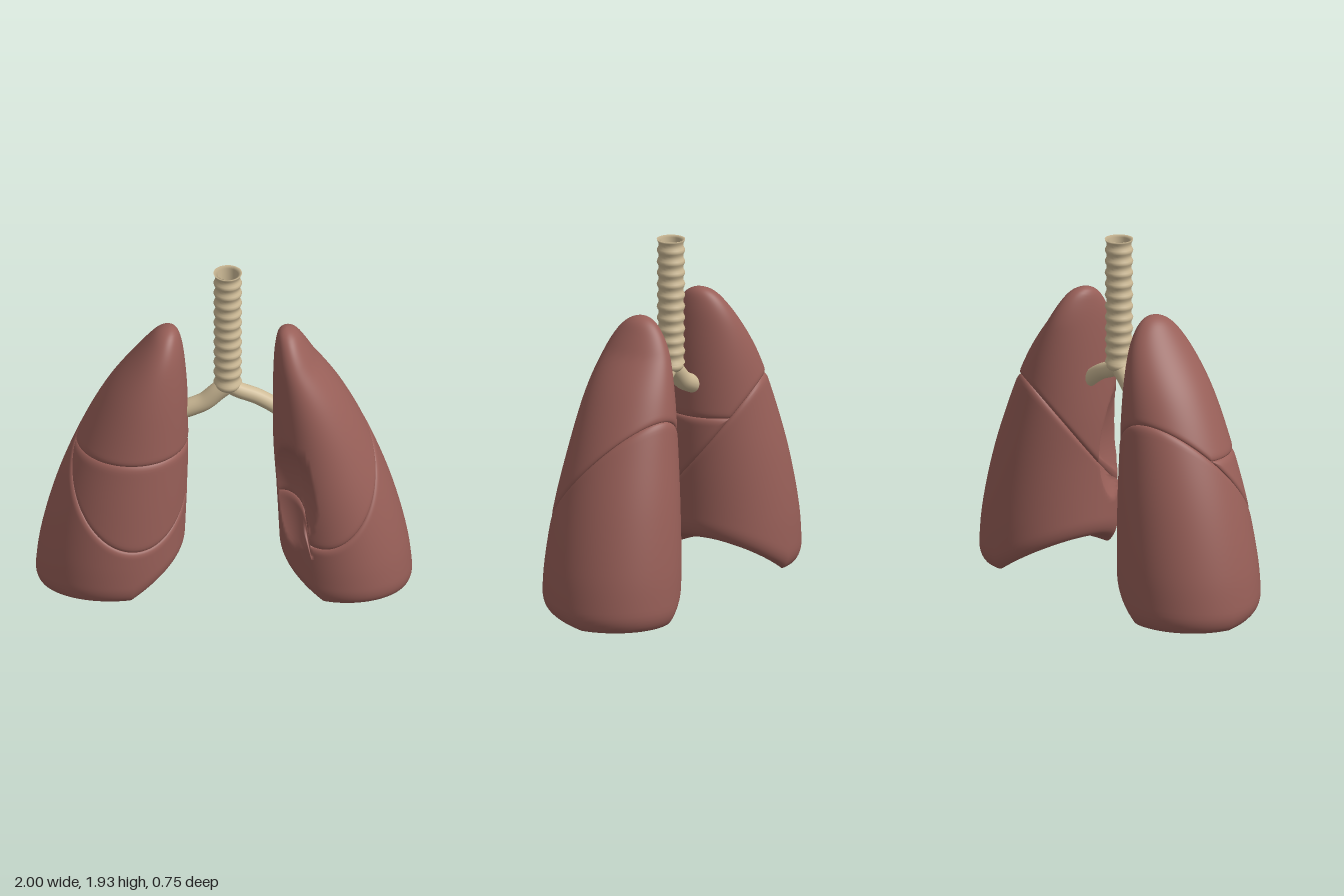
import * as THREE from 'three';

const TOP = 1.59, SEG = 112;

// Lung profile by height: [y, inner x (right lung), inner x (left lung), outer x, half depth]
const PROFILE = [
  [1.59, 0.29, 0.33, 0.31, 0], [1.57, 0.25, 0.292, 0.35, 0.07], [1.5, 0.225, 0.274, 0.415, 0.138],
  [1.4, 0.21, 0.265, 0.495, 0.19], [1.2, 0.195, 0.26, 0.64, 0.25], [0.9, 0.19, 0.262, 0.79, 0.302],
  [0.6, 0.196, 0.28, 0.9, 0.345], [0.3, 0.208, 0.295, 0.975, 0.372], [0.1, 0.215, 0.305, 1.0, 0.375],
  [0, 0.22, 0.31, 1.0, 0.37],
];
// Both sides meet in one point at the apex
PROFILE[0][1] = PROFILE[0][3] = 0.29;
const key = (y) => Math.sqrt(Math.max(0, TOP - y)); // gives a round apex

// Smooth interpolation of one profile column
function sample(y, col) {
  const s = key(y), n = PROFILE.length;
  const S = (i) => key(PROFILE[i][0]), V = (i) => PROFILE[i][col];
  let i = 0;
  while (i < n - 2 && s > S(i + 1)) i++;
  const slope = (k) => {
    const a = Math.max(0, k - 1), b = Math.min(n - 1, k + 1);
    return (V(b) - V(a)) / (S(b) - S(a));
  };
  const h = S(i + 1) - S(i), t = (s - S(i)) / h, t2 = t * t, t3 = t2 * t;
  return (2 * t3 - 3 * t2 + 1) * V(i) + (t3 - 2 * t2 + t) * h * slope(i)
    + (3 * t2 - 2 * t3) * V(i + 1) + (t3 - t2) * h * slope(i + 1);
}

// Closed grid: rows run upwards, columns run around; collapsed faces are left out
function ringGrid(rows, point, flip) {
  const points = [], idx = [];
  for (let j = 0; j <= rows; j++) {
    for (let i = 0; i < SEG; i++) {
      const p = point(i, j / rows);
      if (flip) p.x = -p.x;
      points.push(p);
    }
  }
  const face = (a, b, c) => {
    const tri = new THREE.Triangle(points[a], points[b], points[c]);
    if (tri.getArea() > 1e-8) idx.push(a, flip ? c : b, flip ? b : c);
  };
  for (let j = 0; j < rows; j++) {
    for (let i = 0; i < SEG; i++) {
      const a = j * SEG + i, c = j * SEG + (i + 1) % SEG;
      face(a, a + SEG, c);
      face(a + SEG, c + SEG, c);
    }
  }
  const g = new THREE.BufferGeometry().setFromPoints(points);
  g.setIndex(idx);
  g.computeVertexNormals();
  return g;
}

function makeLung(isLeft, material) {
  const lung = new THREE.Group();
  lung.name = isLeft ? 'leftLung' : 'rightLung';
  const inner = isLeft ? 2 : 1;
  const shift = (y) => (isLeft ? 0.04 * Math.max(0, (y - 1.4) / (TOP - 1.4)) : 0); // left apex sits further out
  const outerX = (y) => sample(y, 3) + shift(y);
  const centre = (y) => (sample(y, inner) + outerX(y)) / 2;

  // Point on the smooth lung surface; the left lung has a hollow for the heart
  function surface(i, y) {
    const a = (i / SEG) * Math.PI * 2;
    const halfWidth = (outerX(y) - sample(y, inner)) / 2;
    const p = new THREE.Vector3(centre(y) + halfWidth * Math.cos(a), y, sample(y, 4) * Math.sin(a));
    if (isLeft && p.z > 0) {
      const q = 1 - ((p.x - 0.24) / 0.25) ** 2 - ((y - 0.66) / 0.4) ** 2;
      if (q > 0) p.z = Math.min(p.z, 0.36 - 0.3 * Math.sqrt(q));
    }
    return p;
  }

  // Height at which each column crosses the cut y = f(x, z)
  function cross(i, f) {
    let lo = 0, hi = TOP;
    for (let k = 0; k < 28; k++) {
      const y = (lo + hi) / 2, p = surface(i, y);
      if (y > f(p.x, p.z)) hi = y; else lo = y;
    }
    return (lo + hi) / 2;
  }
  const columns = (f) => Array.from({ length: SEG }, (_, i) => cross(i, f));
  const c = isLeft ? 0.63 : 0.59;
  const rim = columns((x, z) => Math.max(0, 0.58 * (c - x), 0.18 * z));
  const oblique = columns((x, z) => 0.8 - 1.1 * z + 0.45 * (x - 0.55));
  const horizontal = oblique.map((y) => Math.max(y, 0.89));
  const apex = oblique.map(() => TOP);

  // Rounded edge: inward shift near a cut
  function bevel(distance, [size, depth]) {
    const d = THREE.MathUtils.clamp(distance / size, 0, 1);
    return depth * (1 - Math.sqrt(d * (2 - d)));
  }
  function lobePoint(i, t, low, high, lowEdge, highEdge) {
    const y = THREE.MathUtils.lerp(low[i], high[i], 0.5 - 0.5 * Math.cos(Math.PI * t));
    const p = surface(i, y), axis = new THREE.Vector3(centre(y), y, 0);
    const inset = Math.max(bevel(y - low[i], lowEdge), bevel(high[i] - y, highEdge));
    return p.lerp(axis, Math.min(1, inset / Math.max(0.02, p.distanceTo(axis))));
  }
  function add(name, rows, point) {
    const mesh = new THREE.Mesh(ringGrid(rows, point, !isLeft), material);
    mesh.name = name;
    lung.add(mesh);
  }

  const base = [0.1, 0.045], seam = [0.035, 0.016], none = [1, 0];
  add('lowerLobe', 36, (i, t) => lobePoint(i, t, rim, oblique, base, seam));
  if (!isLeft) add('middleLobe', 22, (i, t) => lobePoint(i, t, oblique, horizontal, seam, seam));
  add('upperLobe', 36, (i, t) => lobePoint(i, t, isLeft ? oblique : horizontal, apex, seam, none));

  // Hollow underside
  const dome = new THREE.Vector3(c + 0.01, 0.14, 0);
  add('underside', 6, (i, t) => {
    const p = lobePoint(i, 0, rim, oblique, base, seam);
    const q = dome.clone().lerp(p, t);
    q.y = THREE.MathUtils.lerp(dome.y, p.y, t * t);
    return q;
  });
  return lung;
}

function makeAirway(material) {
  const airway = new THREE.Group();
  airway.name = 'airway';
  const add = (geometry, name) => {
    const mesh = new THREE.Mesh(geometry, material);
    mesh.name = name;
    airway.add(mesh);
    return mesh;
  };

  // Ringed windpipe with an open top
  const bottom = 1.25, top = 1.935, rings = 11, profile = [];
  for (let k = 0; k <= rings * 6; k++) {
    const ridge = Math.abs(Math.cos((k / 6) * Math.PI)) ** 3;
    profile.push(new THREE.Vector2(0.066 + 0.01 * ridge, bottom + (top - bottom) * k / (rings * 6)));
  }
  profile.push(new THREE.Vector2(0.056, top - 0.01), new THREE.Vector2(0.052, bottom - 0.01));
  add(new THREE.LatheGeometry(profile, 32), 'trachea').position.x = 0.02;

  // Bronchi with rounded ends
  const branch = (name, radius, points) => {
    const path = new THREE.CatmullRomCurve3(points.map(([x, y]) => new THREE.Vector3(x, y, 0)));
    add(new THREE.TubeGeometry(path, 24, radius, 20), name);
    const end = add(new THREE.SphereGeometry(radius, 20, 10), name + 'End');
    end.position.copy(path.getPoint(1));
  };
  branch('rightBronchus', 0.05, [[0.03, 1.24], [-0.03, 1.19], [-0.1, 1.125], [-0.17, 1.09], [-0.25, 1.06]]);
  branch('leftBronchus', 0.043, [[0.01, 1.24], [0.07, 1.2], [0.17, 1.16], [0.24, 1.12], [0.31, 1.07]]);
  const joint = add(new THREE.SphereGeometry(0.068, 28, 14), 'bronchialJunction');
  joint.position.set(0.02, 1.235, 0);
  joint.scale.y = 0.6;
  return airway;
}

export function createModel() {
  const tissue = new THREE.MeshStandardMaterial({ color: 0x985f58, side: THREE.DoubleSide });
  tissue.name = 'lungTissue';
  const cartilage = new THREE.MeshStandardMaterial({ color: 0xcdba96, side: THREE.DoubleSide });
  cartilage.name = 'cartilage';

  const model = new THREE.Group();
  model.name = 'lungs';
  model.add(makeLung(false, tissue), makeLung(true, tissue), makeAirway(cartilage));
  return model;
}
